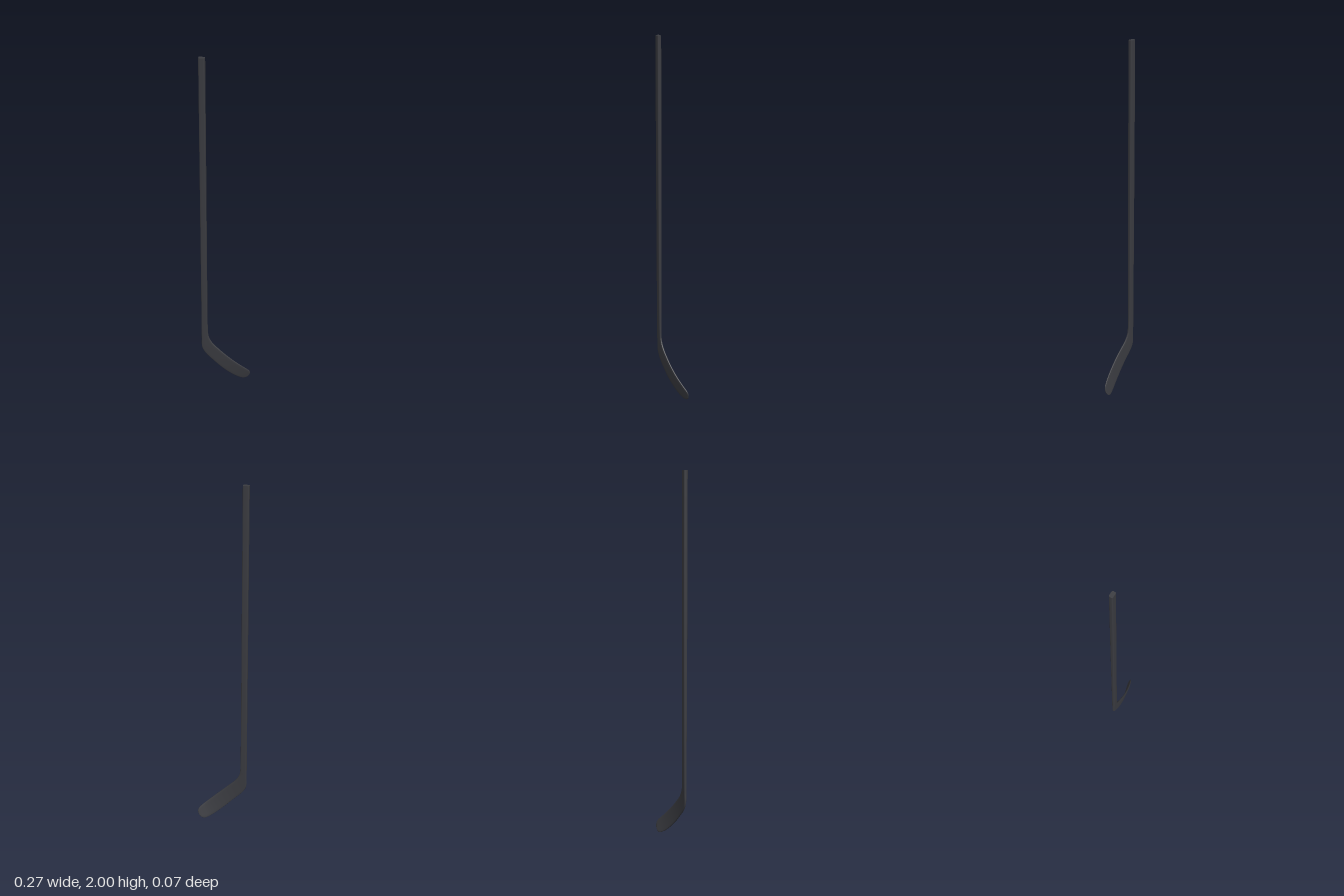
import * as THREE from 'three';

// Stations down the stick: [heel-side x, y, toe-side x, y, half thickness]
const STATIONS = [
  [-0.136, 2, -0.102, 2, 0.0112],
  [-0.136, 1.2, -0.102, 1.2, 0.0105],
  [-0.136, 0.45, -0.102, 0.45, 0.008],
  [-0.136, 0.29, -0.101, 0.36, 0.007],
  [-0.134, 0.222, -0.096, 0.30, 0.006],
  [-0.115, 0.185, -0.076, 0.26, 0.0055],
  [-0.065, 0.132, -0.025, 0.208, 0.005],
  [0, 0.068, 0.055, 0.134, 0.005],
  [0.06, 0.02, 0.1, 0.094, 0.0045],
  [0.092, 0.004, 0.117, 0.078, 0.0045],
  [0.11, 0.006, 0.13, 0.063, 0.004],
  [0.124, 0.017, 0.135, 0.048, 0.003],
  [0.132, 0.03, 0.133, 0.031, 0.0005],
];
const RING = 32;

// Curve of the blade towards the back, growing with distance from the heel
function bend(x, y) {
  const s = Math.max(0, (x + 0.12) * 0.73 + (0.25 - y) * 0.68);
  return 0.021 - 0.051 * Math.pow(s / 0.33, 2.5);
}

const squared = (v) => Math.sign(v) * Math.pow(Math.abs(v), 0.42);

// Lofts rounded-rectangle sections between two edge curves, from index a to b
function loft(a, b, steps, capped) {
  const heelEdge = new THREE.CatmullRomCurve3(STATIONS.map((s) => new THREE.Vector3(s[0], s[1], s[4])));
  const toeEdge = new THREE.CatmullRomCurve3(STATIONS.map((s) => new THREE.Vector3(s[2], s[3], s[4])));
  const last = STATIONS.length - 1;
  const pos = [], index = [];
  for (let i = 0; i <= steps; i++) {
    const t = (a + (b - a) * i / steps) / last;
    const l = heelEdge.getPoint(t), r = toeEdge.getPoint(t);
    for (let j = 0; j < RING; j++) {
      const ang = j / RING * Math.PI * 2;
      const u = (1 + squared(Math.cos(ang))) / 2;
      const x = l.x + (r.x - l.x) * u, y = l.y + (r.y - l.y) * u;
      pos.push(x, y, bend(x, y) + squared(Math.sin(ang)) * l.z);
      if (i < steps) {
        const k = (j + 1) % RING, p = i * RING, q = p + RING;
        index.push(p + j, p + k, q + j, p + k, q + k, q + j);
      }
    }
  }
  // Flat butt end with its own vertices for a crisp edge
  if (capped) {
    const start = pos.length / 3;
    pos.push(...pos.slice(0, RING * 3), -0.119, 2, 0.021);
    for (let j = 0; j < RING; j++) index.push(start + RING, start + (j + 1) % RING, start + j);
  }
  const geo = new THREE.BufferGeometry();
  geo.setAttribute('position', new THREE.Float32BufferAttribute(pos, 3));
  geo.setIndex(index);
  geo.computeVertexNormals();
  return geo;
}

export function createModel() {
  const group = new THREE.Group();
  group.name = 'hockeyStick';
  const material = new THREE.MeshStandardMaterial({ color: 0x3a3b40 });

  // Straight shaft, thinning towards the heel
  const shaft = new THREE.Mesh(loft(0, 2, 12, true), material);
  shaft.name = 'shaft';

  // Heel and curved blade with rounded toe
  const blade = new THREE.Mesh(loft(2, STATIONS.length - 1, 80, false), material);
  blade.name = 'blade';

  group.add(shaft, blade);
  return group;
}
